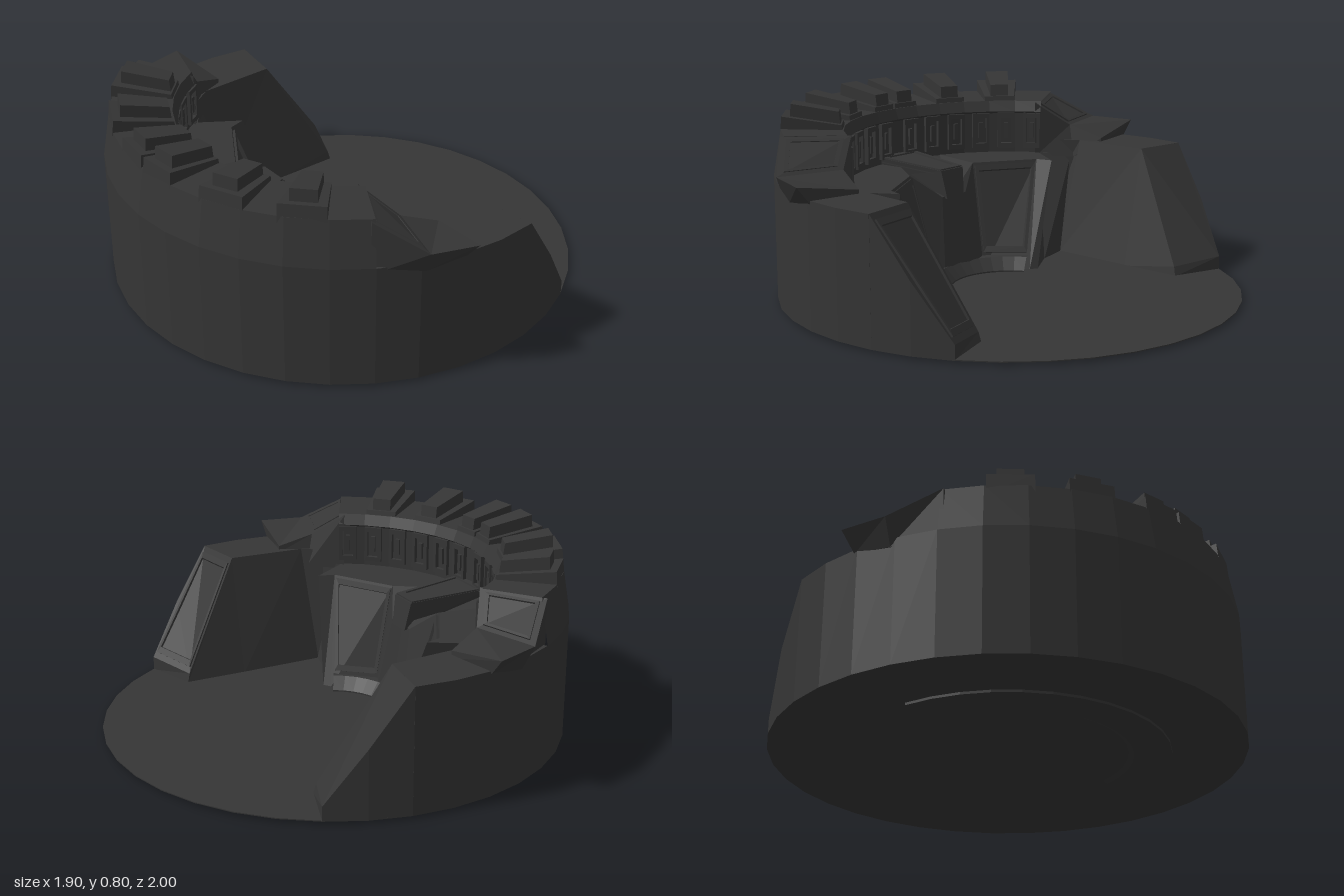
import * as THREE from 'three';

const stone = new THREE.MeshStandardMaterial({ color: 0x353535 });
stone.name = 'dark stone';
const RAD = Math.PI / 180;
const BASE = 0.01;
const v = (p) => new THREE.Vector3(...p);

function named(name, geometry) {
  const g = geometry.index ? geometry.toNonIndexed() : geometry;
  g.computeVertexNormals();
  const mesh = new THREE.Mesh(g, stone);
  mesh.name = name;
  return mesh;
}

function fromTriangles(name, tris) {
  const g = new THREE.BufferGeometry();
  g.setFromPoints(tris);
  return named(name, g);
}

// Faceted solid joining a bottom outline to a top outline with equal point counts
function solid(name, bottom, top) {
  const b = bottom.map(v), t = top.map(v);
  const flat = (ring) => ring.map((p) => new THREE.Vector2(p.x, -p.z));
  if (THREE.ShapeUtils.area(flat(t)) < 0) { b.reverse(); t.reverse(); }
  const tris = [];
  for (let i = 0; i < t.length; i++) {
    const j = (i + 1) % t.length;
    tris.push(b[i], b[j], t[j], b[i], t[j], t[i]);
  }
  for (const [i, j, k] of THREE.ShapeUtils.triangulateShape(flat(t), [])) tris.push(t[i], t[j], t[k]);
  for (const [i, j, k] of THREE.ShapeUtils.triangulateShape(flat(b), [])) tris.push(b[k], b[j], b[i]);
  return fromTriangles(name, tris);
}

// Raised border following a four-cornered face (corners anticlockwise from outside)
function quadFrame(name, corners, margin, border, depth) {
  const c = corners.map(v);
  const mid = c.reduce((s, p) => s.add(p), new THREE.Vector3()).multiplyScalar(0.25);
  const n = c[1].clone().sub(c[0]).cross(c[3].clone().sub(c[0])).normalize();
  const ring = (k, h) => c.map((p) => p.clone().lerp(mid, k).addScaledVector(n, h));
  const rings = [ring(margin, -0.02), ring(margin, depth), ring(margin + border, depth), ring(margin + border + 0.03, -0.02)];
  const tris = [];
  for (let r = 0; r < 3; r++) {
    for (let i = 0; i < 4; i++) {
      const j = (i + 1) % 4, [p, q] = [rings[r], rings[r + 1]];
      tris.push(p[i], p[j], q[j], p[i], q[j], q[i]);
    }
  }
  return fromTriangles(name, tris);
}

// Point at an angle from the -x direction, swinging towards +z
const polar = (deg, r, y) => [-r * Math.cos(deg * RAD), y, r * Math.sin(deg * RAD)];

// Ring section centred on the -x direction
function ringWall(name, profile, half, segments) {
  const pts = profile.map(([r, y]) => new THREE.Vector2(r, y));
  return named(name, new THREE.LatheGeometry(pts, segments, (270 - half) * RAD, 2 * half * RAD));
}

// Battlement wedge whose top falls from the outer end to the inner end
function merlonBlock(name, deg, half, r0, r1, yFoot, yInner, yOuter) {
  const ring = (yIn, yOut, shrink) => [[r0 + shrink, -1, yIn], [r1 - shrink, -1, yOut], [r1 - shrink, 1, yOut], [r0 + shrink, 1, yIn]]
    .map(([r, s, y]) => polar(deg + s * half, r, y));
  return solid(name, ring(yFoot, yFoot, 0), ring(yInner, yOuter, 0.008));
}

function windowFrame(deg) {
  const rect = (P, w, h) => new P().moveTo(-w, -h).lineTo(w, -h).lineTo(w, h).lineTo(-w, h).closePath();
  const shape = rect(THREE.Shape, 0.038, 0.078);
  shape.holes.push(rect(THREE.Path, 0.024, 0.057));
  const group = new THREE.Group();
  group.name = 'window';
  group.add(named('windowFrame', new THREE.ExtrudeGeometry(shape, { depth: 0.02, bevelEnabled: false })));
  const slit = named('windowSlit', new THREE.BoxGeometry(0.018, 0.07, 0.02));
  slit.position.set(0, 0, 0.006);
  group.add(slit);
  group.position.set(...polar(deg, 0.665, 0.56));
  group.rotation.y = Math.PI / 2 + deg * RAD;
  return group;
}

// Everything that exists on both sides; s is +1 or -1 along z
function side(s) {
  const g = new THREE.Group();
  g.name = s > 0 ? 'frontHalf' : 'backHalf';
  const m = (pts) => pts.map(([x, y, z]) => [x, y, z * s]);
  const add = (name, b, t) => g.add(solid(name, m(b), m(t)));
  const frame = (name, pts, ...rest) => g.add(quadFrame(name, s > 0 ? m(pts) : m(pts).reverse(), ...rest));

  // Low side wall and its sloping end
  const arc = (from, to, y) => {
    const out = [];
    for (let a = from; a >= to; a -= 10) out.push(polar(a, 0.95, y));
    return out;
  };
  add('sideWall',
    [...arc(100, 60, BASE), [-0.33, BASE, 0.58], [-0.24, BASE, 0.6], [0.13, BASE, 0.6]],
    [...arc(100, 60, 0.515), [-0.33, 0.515, 0.6], [-0.2, 0.515, 0.69], [0.13, 0.515, 0.71]]);
  const slope = [[0.475, 0.07, 0.823], [0.39, 0.05, 0.61], [0.13, 0.515, 0.71], [0.165, 0.515, 0.935]];
  add('sideWallSlope',
    [...arc(120, 100, BASE), [0.13, BASE, 0.6], [0.4, BASE, 0.605]],
    [slope[0], polar(110, 0.95, 0.29), slope[3], slope[2], slope[1]]);
  if (s > 0) frame('slopePanelFrame', slope, 0.1, 0.1, 0.006);

  // Terrace with leaning inner faces
  const back = [polar(60, 0.7, BASE), polar(40, 0.7, BASE), polar(22, 0.7, BASE), [-0.63, BASE, 0.23]];
  add('terrace',
    [[-0.28, BASE, 0.14], [-0.13, BASE, 0.27], [-0.11, BASE, 0.3], [-0.2, BASE, 0.45], [-0.24, BASE, 0.62], ...back],
    [[-0.39, 0.46, 0.19], [-0.24, 0.46, 0.44], [-0.17, 0.46, 0.46], [-0.33, 0.46, 0.56], [-0.24, 0.46, 0.68],
      ...back.map(([x, , z]) => [x, 0.46, z])]);
  frame('tallPanelFrame',
    [[-0.15, 0.07, 0.28], [-0.3, 0.07, 0.15], [-0.39, 0.46, 0.19], [-0.24, 0.46, 0.44]], 0.06, 0.12, 0.01);

  // Central pillar half, dipping below the terrace
  add('centrePillar',
    [[-0.28, BASE, 0], [-0.265, BASE, 0.11], [-0.28, BASE, 0.14], [-0.63, BASE, 0.23], [-0.68, BASE, 0]],
    [[-0.33, 0.36, 0], [-0.32, 0.36, 0.07], [-0.39, 0.46, 0.19], [-0.63, 0.46, 0.23], [-0.68, 0.46, 0]]);

  // Parapet end: sloping block and overhanging tip
  const ramp = [[-0.33, 0.58, 0.945], [-0.25, 0.58, 0.68], [-0.345, 0.685, 0.55], [-0.48, 0.695, 0.8]];
  add('parapetRamp', [[-0.31, 0.48, 0.9], [-0.22, 0.44, 0.67], [-0.345, 0.44, 0.55], [-0.48, 0.48, 0.8]], ramp);
  frame('rampPanelFrame', ramp, 0.2, 0.12, 0.005);
  add('parapetTip',
    [[-0.31, 0.48, 0.9], [-0.15, 0.5, 0.935], [-0.11, 0.5, 0.73], [-0.22, 0.44, 0.67]],
    [[-0.33, 0.58, 0.945], [-0.15, 0.575, 1.0], [-0.11, 0.53, 0.73], [-0.25, 0.58, 0.68]]);

  // Battlements
  for (const deg of [5.5, 24.8, 44]) {
    g.add(merlonBlock('merlonBase', s * deg, deg < 10 ? 5 : 5.6, 0.67, 0.922, 0.66, 0.71, 0.75));
    g.add(merlonBlock('merlonTop', s * deg, 3.3, 0.68, 0.885, 0.69, 0.76, 0.795));
  }
  for (let k = 0; k < 6; k++) g.add(windowFrame(s * (6.5 + k * 10)));
  return g;
}

export function createModel() {
  const model = new THREE.Group();
  model.name = 'arena';

  // Thin floor disc with a shallow ring beneath it
  const floor = named('floor', new THREE.CylinderGeometry(0.95, 0.95, 0.004, 36));
  floor.position.y = 0.012;
  model.add(floor);
  model.add(ringWall('underRing', [[0.48, BASE], [0.5, 0], [0.65, 0], [0.65, BASE]], 80, 16));

  // High curved wall and the low step at its foot
  model.add(ringWall('curvedWall',
    [[0.95, BASE], [0.95, 0.515], [0.918, 0.7], [0.67, 0.69], [0.65, 0.645], [0.665, 0.635], [0.665, 0.4]], 60, 12));
  model.add(ringWall('footStep', [[0.34, BASE], [0.34, 0.07], [0.29, 0.07], [0.245, 0.02], [0.245, BASE]], 62, 12));

  // Central console
  const consoleTop = [[-0.33, 0.47, 0.065], [-0.33, 0.47, -0.065], [-0.68, 0.49, -0.105], [-0.68, 0.49, 0.105]];
  model.add(solid('console',
    [[-0.31, 0.35, 0.05], [-0.31, 0.35, -0.05], [-0.68, 0.4, -0.09], [-0.68, 0.4, 0.09]], consoleTop));
  model.add(quadFrame('consoleFrame', consoleTop, 0.03, 0.2, 0.006));

  for (const s of [1, -1]) model.add(side(s));
  return model;
}
